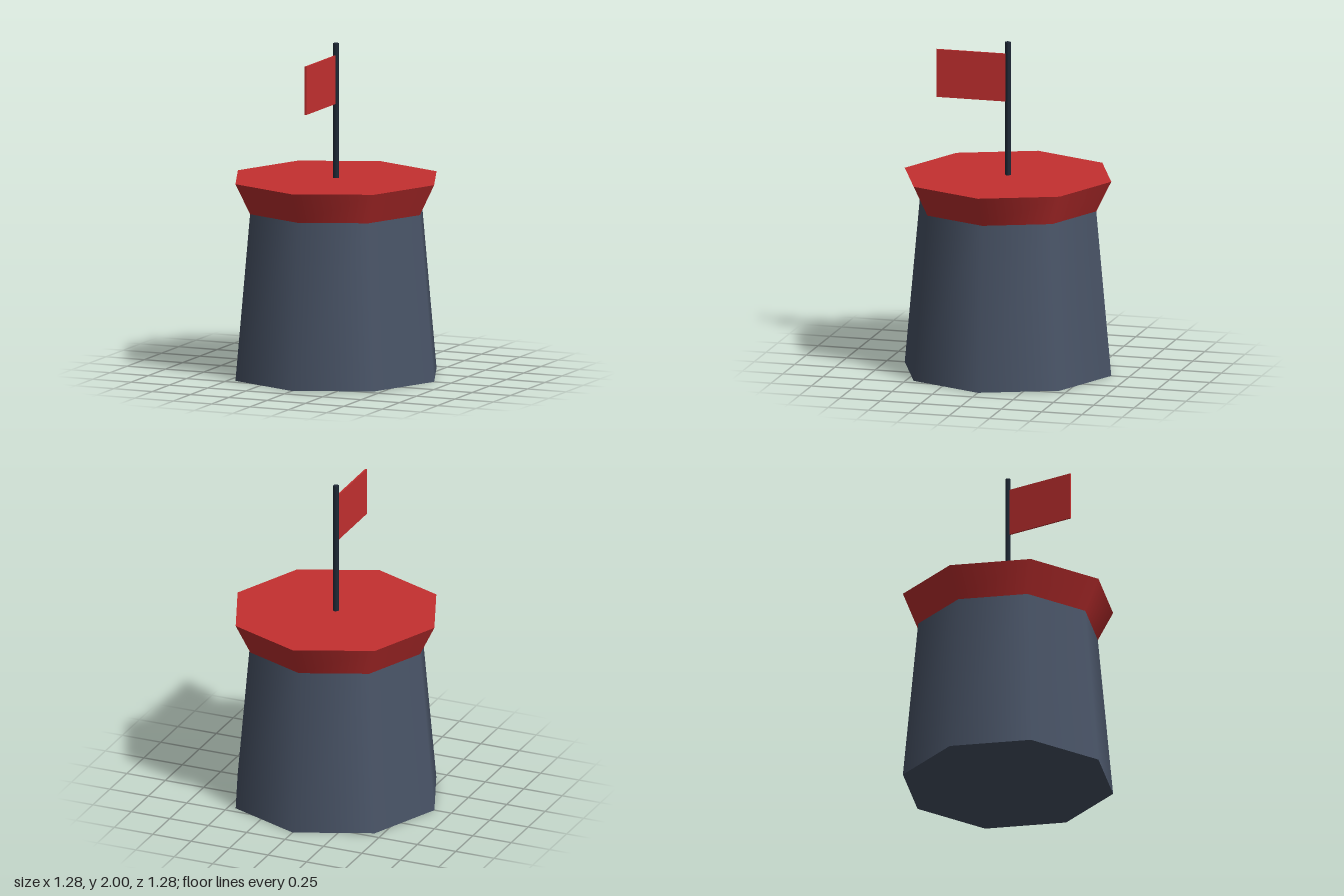
import * as THREE from 'three';

const material = (name, color) => {
  const m = new THREE.MeshStandardMaterial({ color });
  m.name = name;
  return m;
};

export function createModel() {
  const slate = material('slate', 0x4a5568);
  const red = material('red', 0xc53030);
  const darkNavy = material('darkNavy', 0x1f2937);

  const model = new THREE.Group();
  model.name = 'flagTower';

  const add = (name, geometry, mat, y, z = 0) => {
    const mesh = new THREE.Mesh(geometry, mat);
    mesh.name = name;
    mesh.position.set(0, y, z);
    model.add(mesh);
  };

  // Frustum with smooth sides, standing on height y0
  const frustum = (name, top, bottom, y0, y1, sides, mat) =>
    add(name, new THREE.CylinderGeometry(top, bottom, y1 - y0, sides), mat, (y0 + y1) / 2);

  // Tapered eight-sided tower and its flared cap
  frustum('towerBody', 0.547, 0.64, 0, 1, 8, slate);
  frustum('towerCap', 0.64, 0.547, 1, 1.187, 8, red);

  // Flagpole rising from the cap, with a thin flag pointing forward
  frustum('flagPole', 0.018, 0.018, 1.187, 2, 6, darkNavy);
  add('flag', new THREE.BoxGeometry(0.01, 0.292, 0.442), red, 1.781, 0.222);

  return model;
}
